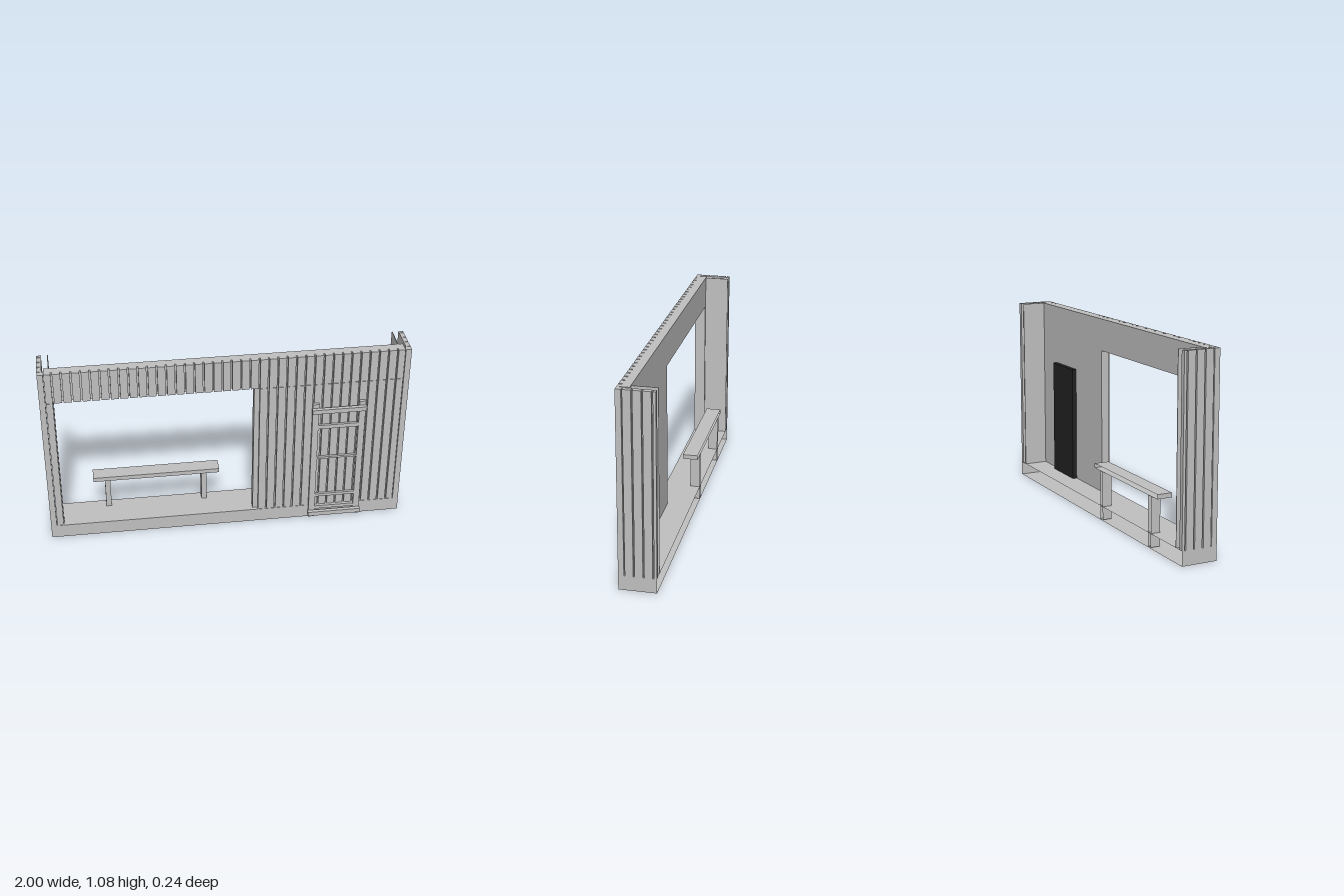
import * as THREE from 'three';

export function createModel() {
  const model = new THREE.Group();
  const grey = new THREE.MeshStandardMaterial({ color: 0xc0c0c0, side: THREE.DoubleSide });
  grey.name = 'greyCladding';
  const black = new THREE.MeshStandardMaterial({ color: 0x222222 });
  black.name = 'blackDoor';

  // Box given by its limits; openBack drops the -z face, openTop the +y face
  function box(name, x0, x1, y0, y1, z0, z1, opt = {}) {
    const g = new THREE.BoxGeometry(x1 - x0, y1 - y0, z1 - z0);
    const idx = Array.from(g.index.array);
    const keep = [];
    for (let f = 0; f < 6; f++) {
      if ((opt.openBack && f === 5) || (opt.openTop && f === 2)) continue;
      keep.push(...idx.slice(f * 6, f * 6 + 6));
    }
    g.setIndex(keep);
    g.clearGroups();
    g.translate((x0 + x1) / 2, (y0 + y1) / 2, (z0 + z1) / 2);
    const m = new THREE.Mesh(g, opt.mat || grey);
    m.name = name;
    (opt.parent || model).add(m);
    return m;
  }
  const BACK = -0.12, FRONT = 0.08, FLOOR = 0.08, LINTEL = 0.9, TOP = 1.08;
  const OPEN_L = -0.925, OPEN_R = 0.15;

  // Hollow platform, open at the back
  box('platform', -1, 1, 0, FLOOR, BACK, FRONT, { openBack: true });

  // Front wall core with the large opening
  const wall = new THREE.Group();
  wall.name = 'frontWall';
  model.add(wall);
  const outline = new THREE.Shape([
    [-0.965, FLOOR], [OPEN_L, FLOOR], [OPEN_L, LINTEL], [OPEN_R, LINTEL], [OPEN_R, FLOOR],
    [0.965, FLOOR], [0.965, TOP], [-0.965, TOP],
  ].map(p => new THREE.Vector2(...p)));
  const core = new THREE.Mesh(
    new THREE.ExtrudeGeometry(outline, { depth: 0.045, bevelEnabled: false }), grey);
  core.position.z = 0.015;
  core.name = 'wallCore';
  wall.add(core);

  // Vertical boards on the front: upper band, and lower boards beside the opening
  const gap = 0.004;
  const boards = { parent: wall };
  for (let i = -1; i < 38; i++) {
    const x0 = Math.max(-0.965, -0.925 + i * 0.05 + gap);
    const x1 = Math.min(0.965, -0.925 + (i + 1) * 0.05 - gap);
    if (x1 - x0 < 0.01) continue;
    box('bandBoard', x0, x1, LINTEL, TOP, 0.06, FRONT, boards);
    if (x0 > OPEN_R - 0.01 || x1 < OPEN_L + 0.01)
      box('wallBoard', x0, x1, FLOOR, LINTEL - 0.003, 0.06, FRONT - 0.002, boards);
  }

  // Side walls: inner lining, outer sheet and boards, with an open cavity between
  for (const s of [-1, 1]) {
    const side = new THREE.Group();
    side.name = s > 0 ? 'leftSideWall' : 'rightSideWall';
    model.add(side);
    const o = { parent: side };
    const sideBox = (name, a, b, y0, y1, z0, z1) =>
      box(name, Math.min(s * a, s * b), Math.max(s * a, s * b), y0, y1, z0, z1, o);
    sideBox('lining', 0.937, 0.941, FLOOR, TOP, BACK, 0.015);
    sideBox('outerSheet', 0.974, 0.982, FLOOR, TOP, BACK, 0.06);
    sideBox('cornerBoard', 0.968, 1, FLOOR, TOP, 0.05, FRONT);
    for (let i = 0; i < 4; i++) {
      const z1 = 0.05 - i * 0.05 - 0.005;
      const z0 = Math.max(BACK, z1 - 0.043);
      sideBox('sideBoard', 0.982, 1, FLOOR, TOP, z0, z1);
    }
  }

  // Dark door on the back of the wall
  box('door', 0.485, 0.75, FLOOR, 0.74, -0.01, 0.015, { mat: black });

  // Bench in the opening, cut open along the back
  const bench = new THREE.Group();
  bench.name = 'bench';
  model.add(bench);
  const bo = { parent: bench, openBack: true };
  box('benchTop', -0.745, -0.03, 0.28, 0.305, BACK, -0.035, bo);
  for (const x of [-0.68, -0.13]) box('benchLeg', x, x + 0.03, 0.005, 0.28, BACK, -0.065, bo);

  // Ladder frame on the front
  const ladder = new THREE.Group();
  ladder.name = 'ladder';
  model.add(ladder);
  const lo = { parent: ladder };
  for (const [x0, x1] of [[0.47, 0.505], [0.73, 0.765]])
    box('ladderRail', x0, x1, 0.008, 0.78, 0.078, 0.096, lo);
  box('topBar', 0.465, 0.767, 0.73, 0.756, 0.096, 0.118, lo);
  box('bottomBar', 0.465, 0.767, 0.028, 0.054, 0.096, 0.118, lo);
  for (const [y, h] of [[0.615, 0.024], [0.412, 0.012], [0.148, 0.018], [0.06, 0.02]])
    box('rung', 0.5, 0.735, y, y + h, 0.08, 0.094, lo);

  return model;
}
